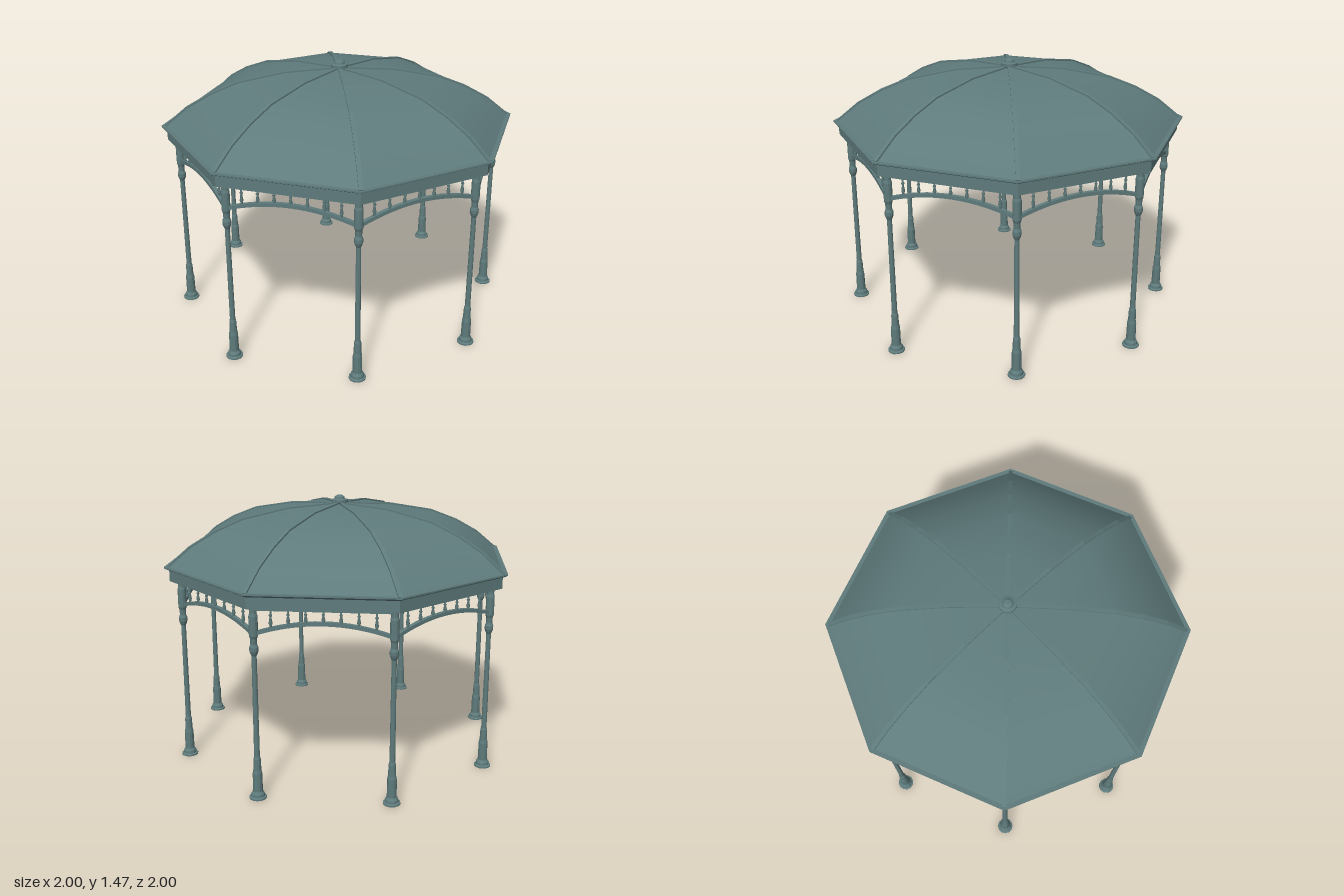
import * as THREE from 'three';

const SIDES = 8;
const STEP = (Math.PI * 2) / SIDES;
const COLUMN_R = 0.91;
const APOTHEM = COLUMN_R * Math.cos(STEP / 2);
const HALF_BAY = COLUMN_R * Math.sin(STEP / 2);

const paint = new THREE.MeshStandardMaterial({ color: 0x5f7b7c, side: THREE.DoubleSide });
paint.name = 'grey green paint';

const vec = (pts) => pts.map(([x, y]) => new THREE.Vector2(x, y));

function add(parent, name, geometry) {
  const mesh = new THREE.Mesh(geometry, paint);
  mesh.name = name;
  parent.add(mesh);
  return mesh;
}

// Lathe with hard facets
function faceted(pts, sides) {
  const g = new THREE.LatheGeometry(vec(pts), sides).toNonIndexed();
  g.computeVertexNormals();
  return g;
}

// Flat shape extruded evenly either side of z = 0
function slab(pts, depth) {
  return new THREE.ExtrudeGeometry(new THREE.Shape(vec(pts)), { depth, bevelEnabled: false })
    .translate(0, 0, -depth / 2);
}

// Dome profile along a hip line: radius, height
const DOME = [[0.982, 1.11], [0.857, 1.213], [0.72, 1.29], [0.565, 1.352], [0.305, 1.402], [0.03, 1.418]];

// Lower arch edge and its height at a place along the bay
const archY = (x) => 0.955 - 0.06 * (x / HALF_BAY) ** 2;

function makeBay() {
  const bay = new THREE.Group();
  bay.name = 'archBay';
  // Curved arch band
  const low = [], high = [];
  for (let i = 0; i <= 16; i++) {
    const x = HALF_BAY * (i / 8 - 1);
    low.push([x, archY(x) - 0.01]);
    high.unshift([x, archY(x) + 0.01]);
  }
  add(bay, 'arch', slab([...low, ...high], 0.022));
  add(bay, 'topRail', new THREE.BoxGeometry(HALF_BAY * 2, 0.016, 0.024).translate(0, 1.024, 0));
  // Turned spindles
  for (let i = 1; i < 8; i++) {
    const x = HALF_BAY * (i / 4 - 1);
    const y0 = archY(x), h = 1.018 - y0;
    const profile = [[0.006, 0], [0.006, 0.15], [0.01, 0.3], [0.005, 0.62], [0.009, 0.72], [0.005, 0.8], [0.005, 1]];
    add(bay, 'spindle', new THREE.LatheGeometry(vec(profile.map(([r, t]) => [r, y0 + t * h])), 8))
      .position.x = x;
  }
  bay.children.forEach((m) => { m.position.z = APOTHEM; });
  return bay;
}

export function createModel() {
  const model = new THREE.Group();
  model.name = 'pavilion';

  const columnGeo = faceted([
    [0, 0], [0.046, 0], [0.046, 0.008], [0.036, 0.012], [0.035, 0.026], [0.026, 0.04],
    [0.025, 0.14], [0.021, 0.16], [0.019, 0.22], [0.015, 0.235], [0.013, 0.78], [0.018, 0.79],
    [0.023, 0.805], [0.023, 0.825], [0.017, 0.84], [0.018, 0.87], [0.023, 0.885],
    [0.023, 0.985], [0.019, 1.0], [0.019, 1.05], [0, 1.05],
  ], 12);

  // One flat-across, curved-up roof panel
  const panelGeo = new THREE.LatheGeometry(vec(DOME), 1, 0, STEP);
  panelGeo.computeVertexNormals();

  // Hip rib, standing proud outside and showing inside on its lower half
  const drop = [0.005, 0.02, 0.025, 0.018, 0.003, 0.003];
  const ribGeo = slab([
    ...DOME.map(([r, y]) => [r, y + 0.008]),
    ...DOME.map(([r, y], i) => [r - 0.01, y - drop[i]]).reverse(),
  ], 0.022);

  for (let i = 0; i < SIDES; i++) {
    const a = i * STEP;
    const column = add(model, 'column', columnGeo);
    column.position.set(COLUMN_R * Math.sin(a), 0, COLUMN_R * Math.cos(a));
    column.rotation.y = a;
    add(model, 'roofPanel', panelGeo).rotation.y = a;
    add(model, 'roofRib', ribGeo).rotation.y = a;
    const bay = makeBay();
    bay.rotation.y = a + STEP / 2;
    model.add(bay);
  }

  // Stepped octagonal fascia, beam and eave lip
  add(model, 'eaveRing', faceted([
    [0.89, 1.03], [0.972, 1.035], [0.972, 1.095], [0.985, 1.1], [1.0, 1.108], [1.0, 1.116],
    [0.975, 1.116], [0.95, 1.1], [0.89, 1.1], [0.89, 1.03],
  ], SIDES));

  // Crown cap at the apex
  add(model, 'crownCap', faceted([
    [0, 1.405], [0.035, 1.405], [0.035, 1.422], [0.047, 1.426], [0.047, 1.442], [0.03, 1.446],
    [0.027, 1.458], [0.015, 1.466], [0, 1.466],
  ], 16));

  return model;
}
